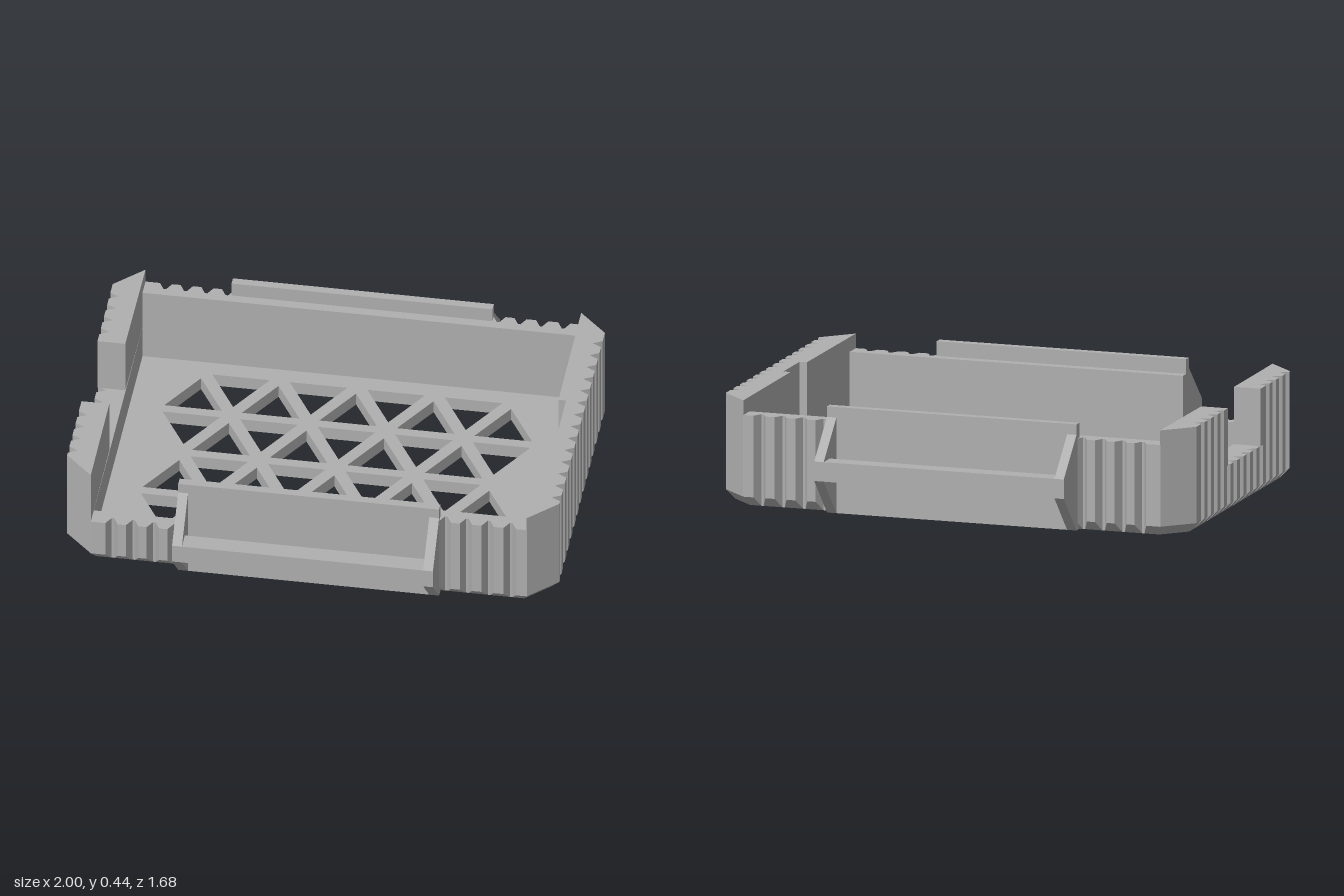
import * as THREE from 'three';

const X = 1, Z = 0.685;            // outer half sizes
const CX = 0.885, CZ = 0.57;       // where the corner chamfers begin
const IX = 0.887, IZ = 0.61;       // inner half sizes
const D = 0.037;                   // groove depth and bottom bevel inset
const BEVEL = 0.04, FLOOR = 0.055; // bevel height, floor thickness
const LOW = 0.2, MID = 0.375, HIGH = 0.435;

const longGrooves = [-0.826, -0.742, -0.658, -0.574, 0.528, 0.614, 0.702, 0.792];
const endGrooves = Array.from({ length: 14 }, (_, i) => 0.533 - 0.079 * i);

// Edge points are [x, z, bottomX, bottomZ]; the front edge runs from -x to +x
function longEdge(from, to) {
  const out = [];
  for (const s of longGrooves) {
    if (s < from || s + 0.05 > to) continue;
    const a = s + 0.02, b = s + 0.03, zi = Z - D;
    out.push([s, Z, a, zi], [a, zi, a, zi], [b, zi, b, zi], [s + 0.05, Z, b, zi]);
  }
  return out;
}

// The +x edge runs from +z to -z with V grooves
function endEdge(from, to) {
  const out = [];
  for (const c of endGrooves) {
    if (c + 0.021 > from || c - 0.021 < to) continue;
    const xi = X - D;
    out.push([X, c + 0.02, xi, c], [xi, c, xi, c], [X, c - 0.02, xi, c]);
  }
  return out;
}

const flipX = (pts) => pts.map(([x, z, bx, bz]) => [-x, z, -bx, bz]).reverse();
const flipZ = (pts) => pts.map(([x, z, bx, bz]) => [x, -z, bx, -bz]).reverse();

// Upright prism from [x, z] points
function prism(pts, y0, y1, holes = []) {
  const toV = (p) => new THREE.Vector2(p[0], -p[1]);
  const shape = new THREE.Shape(pts.map(toV));
  for (const h of holes) shape.holes.push(new THREE.Path(h.map(toV)));
  const geo = new THREE.ExtrudeGeometry(shape, { depth: y1 - y0, bevelEnabled: false });
  return geo.rotateX(-Math.PI / 2).translate(0, y0, 0);
}

// Sloping skirt under the walls
function skirt(ring) {
  const pos = [];
  ring.forEach((p, i) => {
    const q = ring[(i + 1) % ring.length];
    const a = [p[2], 0, p[3]], b = [q[2], 0, q[3]];
    const c = [q[0], BEVEL, q[1]], d = [p[0], BEVEL, p[1]];
    if (Math.hypot(a[0] - b[0], a[2] - b[2]) > 1e-5) pos.push(...a, ...b, ...c);
    if (Math.hypot(c[0] - d[0], c[2] - d[2]) > 1e-5) pos.push(...a, ...c, ...d);
  });
  const geo = new THREE.BufferGeometry();
  geo.setAttribute('position', new THREE.Float32BufferAttribute(pos, 3));
  geo.computeVertexNormals();
  return geo;
}

// Triangular lattice openings, alternating up and down in each row
function latticeHoles() {
  const holes = [];
  for (let r = 0; r < 4; r++) {
    const z0 = -0.535 + 0.2725 * r, z1 = z0 + 0.23;
    for (let i = 0; i < 9; i++) {
      const x = (i - 4) * 0.1575, up = (i + r) % 2 === 0;
      const base = up ? z1 : z0, tip = up ? z1 - 0.198 : z0 + 0.198;
      holes.push([[x - 0.117, base], [x + 0.117, base], [x, tip]]);
    }
  }
  return holes;
}

export function createModel() {
  const model = new THREE.Group();
  model.name = 'latticeTray';
  const grey = new THREE.MeshStandardMaterial({ color: 0xb0b0b0 });
  grey.name = 'grey';
  const add = (name, geo, parent = model) => {
    const mesh = new THREE.Mesh(geo, grey);
    mesh.name = name;
    parent.add(mesh);
    return mesh;
  };

  // Floor and bevelled skirt
  const k = D * Math.tan(Math.PI / 8);
  const a = [CX, Z, CX - k, Z - D], b = [X, CZ, X - D, CZ - k];
  const front = [...flipX([a]), ...longEdge(-CX, CX), a];
  const right = [b, ...endEdge(CZ, -CZ), ...flipZ([b])];
  const ring = [...front, ...right, ...flipZ(front), ...flipX(right)];
  const corners = [[a[2], a[3]], [b[2], b[3]], [b[2], -b[3]], [a[2], -a[3]]];
  const bottom = [...corners, ...corners.map(([x, z]) => [-x, -z])];
  add('latticeFloor', prism(bottom, 0, FLOOR, latticeHoles()));
  add('bevelledSkirt', skirt(ring));

  // Left end wall with a shallow slot on its inner face
  const end = [[IX, Z], ...right, [IX, -Z]];
  end[0] = [CX, Z];
  end[end.length - 1] = [CX, -Z];
  add('leftEndWall', prism([...end, [IX, -0.105], [0.918, -0.105], [0.918, 0.095], [IX, 0.095]], BEVEL, HIGH));

  // Right end wall with a wide gap
  add('rightEndWallBase', prism(flipX(end), BEVEL, LOW));
  const frontPost = [[CX, Z], [X, CZ], ...endEdge(CZ, 0.21), [X, 0.21], [IX, 0.21]];
  const backPost = [[IX, -0.19], [X, -0.19], ...endEdge(-0.19, -CZ), [X, -CZ], [CX, -Z]];
  add('rightEndPostFront', prism(flipX(frontPost), LOW, HIGH));
  add('rightEndPostBack', prism(flipX(backPost), LOW, HIGH));

  // Long walls; the front one is cut low near the right end
  const longWall = (from, to) => [[from, IZ], [from, Z], ...longEdge(from, to), [to, Z], [to, IZ]];
  add('backWall', prism(flipZ(longWall(-IX, IX)), BEVEL, MID));
  add('frontWall', prism(longWall(-0.53, IX), BEVEL, MID));
  add('frontWallLow', prism(longWall(-IX, -0.52), BEVEL, LOW));

  // Handles on both long sides
  for (const side of ['front', 'back']) {
    const handle = new THREE.Group();
    handle.name = side + 'Handle';
    if (side === 'back') handle.rotation.y = Math.PI;
    const plate = new THREE.BoxGeometry(1.06, HIGH, 0.035).translate(0, HIGH / 2, 0.6675);
    add('handleBackPlate', plate, handle);
    const profile = new THREE.Shape([[0.67, 0], [Z, 0], [0.84, 0.16], [0.84, 0.24], [Z, 0.392], [0.67, 0.392]]
      .map(([z, y]) => new THREE.Vector2(z, y)));
    for (const x of [0.53, -0.49]) {
      const arm = new THREE.ExtrudeGeometry(profile, { depth: 0.04, bevelEnabled: false });
      add('handleArm', arm.rotateY(-Math.PI / 2).translate(x, 0, 0), handle);
    }
    add('handleBar', new THREE.BoxGeometry(0.99, 0.08, 0.075).translate(0, 0.2, 0.8025), handle);
    model.add(handle);
  }
  return model;
}
